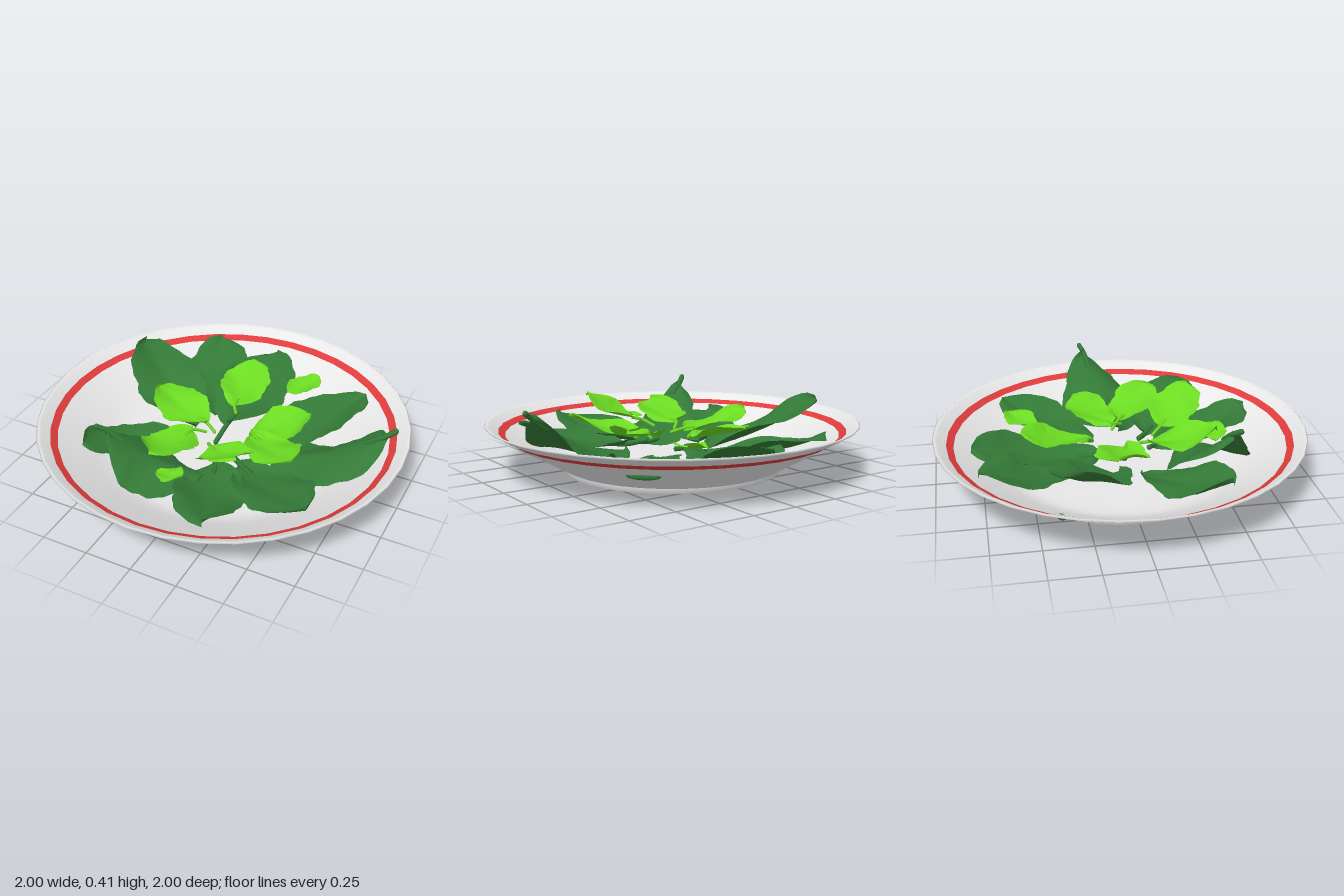
import * as THREE from 'three';

const white = new THREE.MeshStandardMaterial({ name: 'porcelain', color: 0xe8e8e8 });
const red = new THREE.MeshStandardMaterial({ name: 'red glaze', color: 0xe03c3c });
const darkGreen = new THREE.MeshStandardMaterial({ name: 'dark leaf green', color: 0x347a37, side: THREE.DoubleSide });
const lightGreen = new THREE.MeshStandardMaterial({ name: 'light leaf green', color: 0x6cdc22, side: THREE.DoubleSide });

// Height of the plate's inner surface at radius r
const bowl = r => 0.045 + 0.55 * (Math.sqrt((r - 0.6) ** 2 + 0.003) + (r - 0.6)) / 2;

// One ring of the plate; points run from the underside centre round the rim to the inner centre
function ring(name, points, material) {
  const mesh = new THREE.Mesh(
    new THREE.LatheGeometry(points.map(([r, y]) => new THREE.Vector2(r, y)), 36), material);
  mesh.name = name;
  return mesh;
}

function createPlate() {
  const plate = new THREE.Group();
  plate.name = 'plate';
  const inner = (a, b, n) => Array.from({ length: n + 1 }, (_, i) => {
    const r = a + (b - a) * i / n;
    return [r, bowl(r)];
  });
  plate.add(
    ring('plateBase', [[0, 0.012], [0.575, 0.012]], white),
    ring('footRing', [[0.575, 0.012], [0.578, 0], [0.588, 0], [0.592, 0.026]], white),
    ring('outerWall', [[0.592, 0.026], [0.62, 0.04], [0.74, 0.108], [0.875, 0.188]], white),
    ring('outerStripe', [[0.875, 0.188], [0.92, 0.214]], red),
    ring('rim', [[0.92, 0.214], [0.99, 0.253], [1, 0.26], [0.993, 0.266], [0.975, 0.258], [0.93, bowl(0.93)]], white),
    ring('innerStripe', inner(0.93, 0.893, 1), red),
    ring('innerWall', inner(0.893, 0.45, 14).concat([[0, 0.045]]), white));
  return plate;
}

// A leaf: a grid bent into a folded, wavy blade, plus a stem along its midrib
function createLeaf(name, base, tip, width, stemEnd, material, seed, fold) {
  const leaf = new THREE.Group();
  leaf.name = name;
  const a = new THREE.Vector3(...base), b = new THREE.Vector3(...tip);
  const dir = b.clone().sub(a);
  const side = new THREE.Vector3(-dir.z, 0, dir.x).normalize();
  const up = side.clone().cross(dir).normalize();
  if (up.y < 0) up.negate();

  const geo = new THREE.PlaneGeometry(1, 1, 12, 24);
  const pos = geo.attributes.position;
  const p = new THREE.Vector3();
  for (let i = 0; i < pos.count; i++) {
    const u = pos.getX(i) * 2, v = pos.getY(i) + 0.5;
    const outline = Math.pow(Math.max(0, Math.sin(Math.PI * Math.pow(v, 1.15))), 0.52);
    const ragged = 1 + 0.05 * Math.sin(v * 19 + seed * 2 + Math.sign(u)) + 0.03 * Math.sin(v * 45 + seed);
    const wave = 0.07 * Math.sin(v * 7 + seed + u * 2) * Math.abs(u);
    const lift = width * (fold * Math.abs(u) ** 1.3 * outline + wave - 0.1 * Math.sin(Math.PI * v));
    p.copy(a).addScaledVector(dir, v)
      .addScaledVector(side, u * width / 2 * outline * ragged)
      .addScaledVector(up, lift);
    // Rest on the plate rather than sinking into it
    p.y = Math.max(p.y, bowl(Math.hypot(p.x, p.z)) + 0.012);
    pos.setXYZ(i, p.x, p.y, p.z);
  }
  geo.computeVertexNormals();
  const blade = new THREE.Mesh(geo, material);
  blade.name = 'blade';
  leaf.add(blade);

  if (stemEnd) {
    const end = new THREE.Vector3(...stemEnd);
    const into = a.clone().addScaledVector(dir, 0.18).addScaledVector(up, -width * 0.05);
    const curve = new THREE.CatmullRomCurve3([end, a.clone(), into]);
    const radius = material === darkGreen ? 0.015 : 0.009;
    const stem = new THREE.Mesh(new THREE.TubeGeometry(curve, 8, radius, 6), material);
    const cap = new THREE.Mesh(new THREE.SphereGeometry(radius, 6, 4), material);
    stem.name = 'stem';
    cap.name = 'stemEnd';
    cap.position.copy(end);
    leaf.add(stem, cap);
  }
  return leaf;
}

// A sliver of leaf showing through the outer wall, lying along the plate's circumference
function createLeafEdge(x, y, z, length) {
  const edge = new THREE.Mesh(new THREE.SphereGeometry(1, 8, 6), darkGreen);
  edge.name = 'leafEdge';
  edge.scale.set(0.012, 0.018, length / 2);
  edge.position.set(x, y, z);
  edge.rotation.y = Math.atan2(-z, x);
  return edge;
}

export function createModel() {
  const model = new THREE.Group();
  model.name = 'saladPlate';
  model.add(createPlate());

  // Blade base, blade tip, width, stem end, fold
  const dark = [
    [[-0.04, 0.12, -0.12], [-0.04, 0.22, -0.8], 0.42, [-0.04, 0.09, 0.02], 0.1],
    [[-0.16, 0.1, -0.2], [-0.4, 0.25, -0.77], 0.36, null, 0.12],
    [[-0.2, 0.1, -0.04], [-0.7, 0.36, -0.38], 0.38, null, 0.12],
    [[-0.24, 0.1, 0.08], [-0.6, 0.2, 0.47], 0.37, null, 0.08],
    [[-0.41, 0.37, 0.51], [0.05, 0.12, 0.34], 0.42, [-0.45, 0.4, 0.54], -0.2],
    [[0.05, 0.11, 0.2], [0.27, 0.22, 0.77], 0.36, [-0.01, 0.13, 0.16], 0.1],
    [[0.18, 0.12, 0.17], [0.68, 0.24, 0.48], 0.36, [0.09, 0.14, 0.12], 0.08],
    [[0.88, 0.37, -0.08], [0.28, 0.12, 0.04], 0.42, [0.92, 0.4, -0.1], -0.18],
    [[0.2, 0.1, -0.12], [0.6, 0.22, -0.6], 0.34, null, 0.1],
  ];
  const light = [
    [[-0.02, 0.22, -0.17], [-0.07, 0.3, -0.54], 0.27, [0, 0.19, -0.15], 0.08],
    [[-0.09, 0.2, 0.02], [-0.44, 0.29, -0.08], 0.28, [-0.03, 0.18, 0.05], 0.08],
    [[-0.12, 0.22, 0.13], [-0.18, 0.3, 0.49], 0.28, [-0.07, 0.19, 0.08], 0.08],
    [[0.04, 0.23, 0.23], [0.28, 0.38, 0.43], 0.29, [0, 0.2, 0.18], 0.06],
    [[0.18, 0.22, 0.02], [0.5, 0.3, 0.24], 0.27, [0.15, 0.18, -0.02], 0.08],
    [[0.16, 0.21, -0.01], [0.42, 0.28, -0.21], 0.27, [0.21, 0.18, 0.04], 0.08],
    [[0.18, 0.22, -0.44], [0.32, 0.26, -0.59], 0.17, null, 0.1],
    [[-0.13, 0.2, 0.5], [0.03, 0.24, 0.53], 0.13, null, 0.1],
  ];
  dark.forEach(([base, tip, width, stem, fold], i) =>
    model.add(createLeaf('darkLeaf' + (i + 1), base, tip, width, stem, darkGreen, i * 1.7, fold)));
  light.forEach(([base, tip, width, stem, fold], i) =>
    model.add(createLeaf('lightLeaf' + (i + 1), base, tip, width, stem, lightGreen, i * 2.3 + 1, fold)));
  model.add(createLeafEdge(0.55, 0.133, -0.56, 0.17), createLeafEdge(-0.7, 0.147, -0.4, 0.05));
  return model;
}
